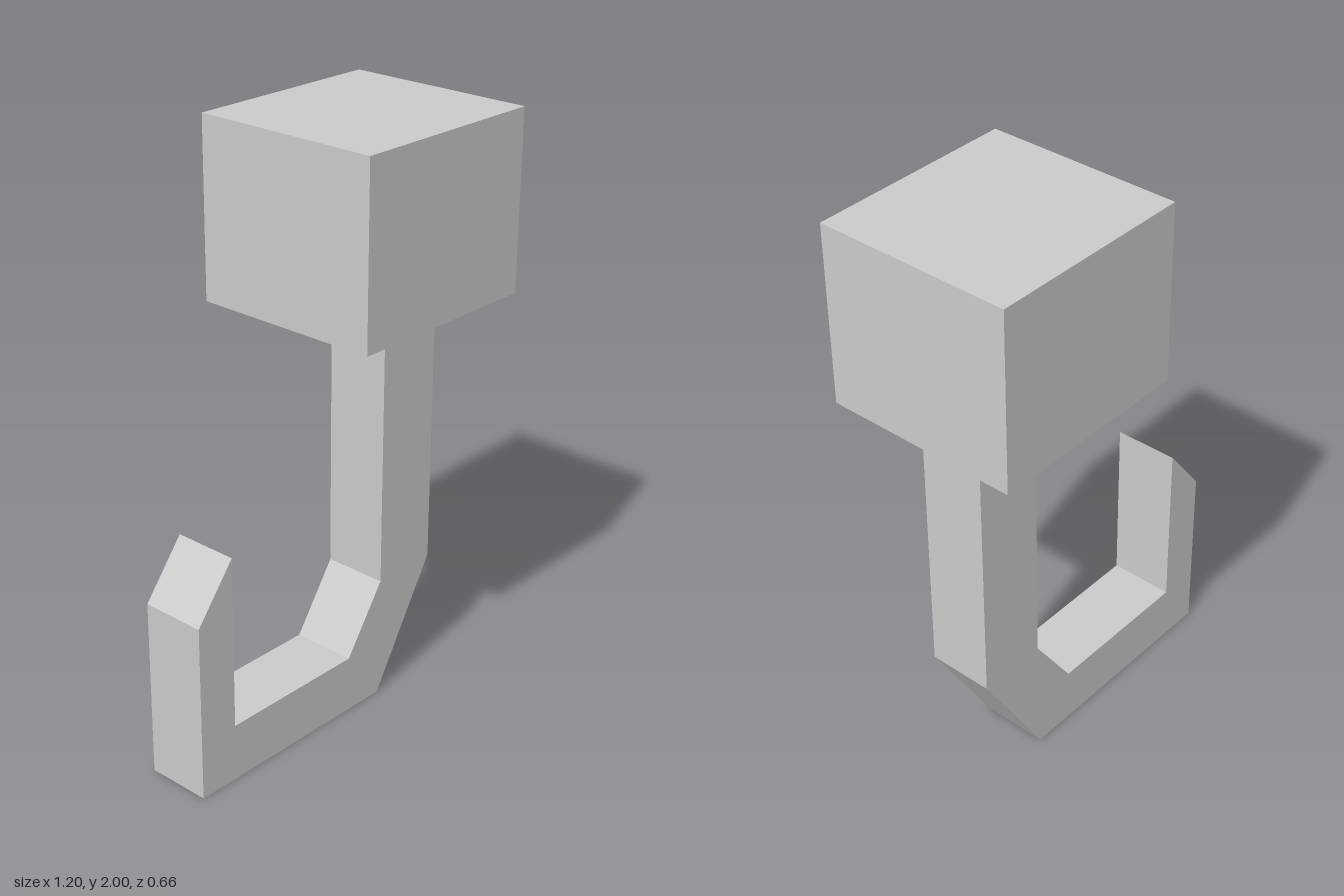
import * as THREE from 'three';

export function createModel() {
  const model = new THREE.Group();
  const material = new THREE.MeshStandardMaterial({ color: 0xcccccc, flatShading: true });

  // Mounting block at the top
  const block = new THREE.Mesh(new THREE.BoxGeometry(0.71, 0.6, 0.664), material);
  block.name = 'mountingBlock';
  block.position.set(0.247, 1.7, 0);
  model.add(block);

  // Hook: shank, angled bend, base and bevelled tip in one outline
  const outline = [
    [-0.602, 0], [0.223, 0], [0.477, 0.43], [0.477, 1.4], [0.232, 1.4],
    [0.232, 0.427], [0.077, 0.198], [-0.458, 0.198], [-0.458, 0.795], [-0.602, 0.61],
  ].map(([x, y]) => new THREE.Vector2(x, y));
  const depth = 0.224;
  const hookGeometry = new THREE.ExtrudeGeometry(new THREE.Shape(outline), { depth, bevelEnabled: false });
  hookGeometry.translate(0, 0, -depth / 2);
  const hook = new THREE.Mesh(hookGeometry, material);
  hook.name = 'hook';
  model.add(hook);

  return model;
}
